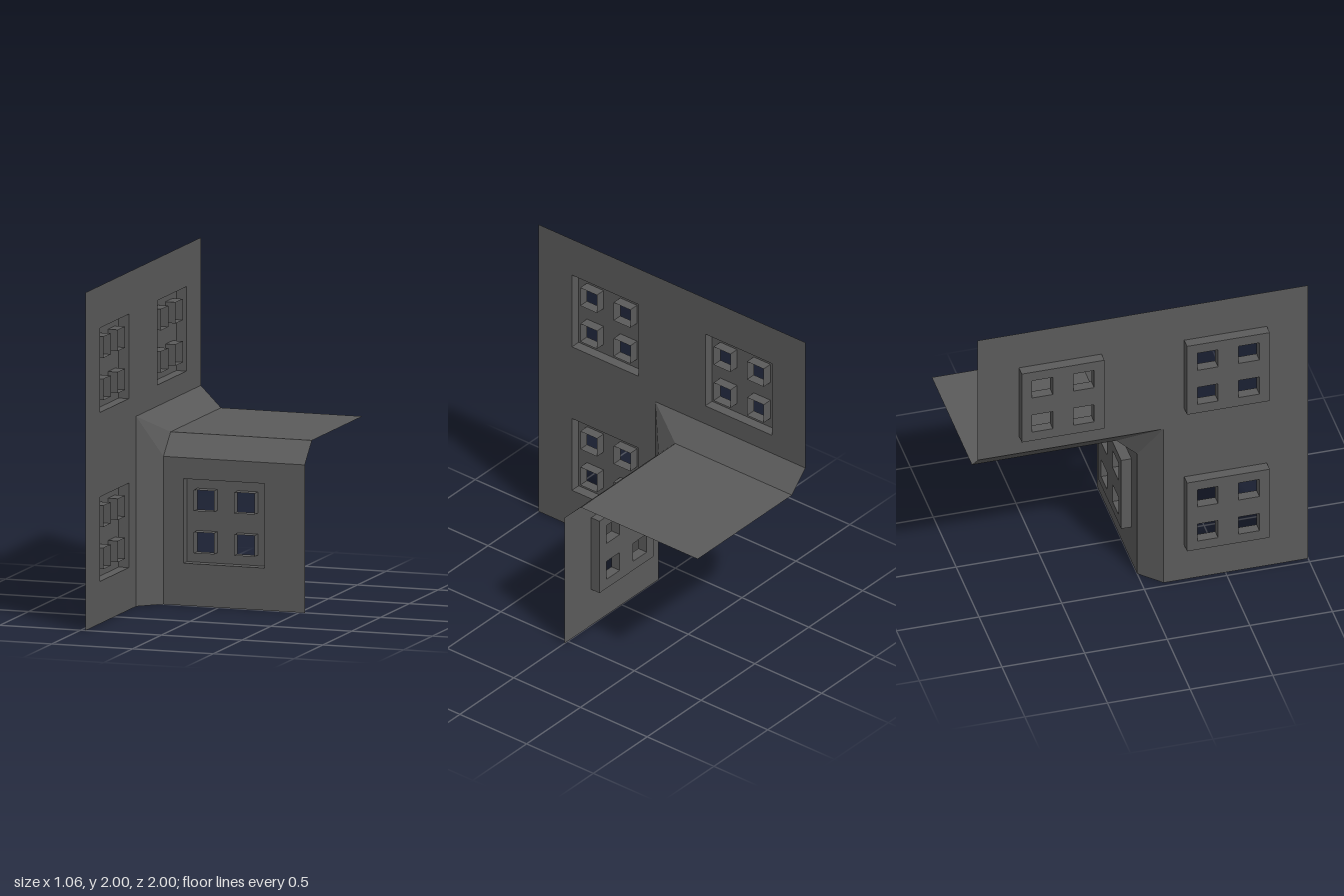
import * as THREE from 'three';

const DEPTH = 0.0625;   // how far the windows sit back from the wall
const WALL_X = -0.46875, INNER_X = -0.34375, END_X = 0.53125;
const FRAME = 0.5, PANE = 0.125;

export function createModel() {
  const grey = new THREE.MeshStandardMaterial({ color: 0x5a5a5a, side: THREE.DoubleSide, flatShading: true });
  grey.name = 'dark grey';
  const model = new THREE.Group();
  model.name = 'cornerWalls';

  const add = (parent, name, geometry) => {
    const mesh = new THREE.Mesh(geometry, grey);
    mesh.name = name;
    parent.add(mesh);
    return mesh;
  };

  const square = (x, y, s) => new THREE.Path([
    [x - s / 2, y - s / 2], [x - s / 2, y + s / 2], [x + s / 2, y + s / 2], [x + s / 2, y - s / 2],
  ].map(p => new THREE.Vector2(...p)));

  // flat sheet in the xy plane with square holes
  const sheet = (points, holes, size) => {
    const shape = new THREE.Shape(points.map(p => new THREE.Vector2(...p)));
    shape.holes = holes.map(([x, y]) => square(x, y, size));
    return new THREE.ShapeGeometry(shape);
  };

  // open square sleeve running back from z = 0
  const sleeve = (x, y, s) => new THREE.CylinderGeometry(s / Math.SQRT2, s / Math.SQRT2, DEPTH, 4, 1, true)
    .rotateY(Math.PI / 4).rotateX(Math.PI / 2).translate(x, y, -DEPTH / 2);

  // flat convex face from its corners, counter-clockwise from the front
  const face = (...corners) => {
    const tris = [];
    for (let i = 1; i < corners.length - 1; i++) tris.push(...corners[0], ...corners[i], ...corners[i + 1]);
    const g = new THREE.BufferGeometry();
    g.setAttribute('position', new THREE.Float32BufferAttribute(tris, 3));
    g.computeVertexNormals();
    return g;
  };

  // recessed window: outer rim, back sheet and four pane sleeves
  const addWindow = (parent, x, y) => {
    const win = new THREE.Group();
    win.name = 'window';
    win.position.set(x, y, 0);
    const h = FRAME / 2, panes = [];
    for (const px of [-PANE, PANE]) for (const py of [-PANE, PANE]) panes.push([px, py]);
    add(win, 'windowRim', sleeve(0, 0, FRAME));
    add(win, 'windowBack', sheet([[-h, -h], [h, -h], [h, h], [-h, h]], panes, PANE).translate(0, 0, -DEPTH));
    for (const [px, py] of panes) add(win, 'paneSleeve', sleeve(px, py, PANE));
    parent.add(win);
  };

  const addWall = (name, outline, windows) => {
    const wall = new THREE.Group();
    wall.name = name;
    add(wall, name + 'Sheet', sheet(outline, windows, FRAME));
    for (const [x, y] of windows) addWindow(wall, x, y);
    model.add(wall);
    return wall;
  };

  // tall L-shaped side wall, turned to face +x (its own x runs along -z)
  const side = addWall('sideWall',
    [[-1, 0], [-0.125, 0], [-0.125, 1.125], [1, 1.125], [1, 2], [-1, 2]],
    [[-0.5, 0.5], [-0.5, 1.5], [0.5, 1.5]]);
  side.rotation.y = Math.PI / 2;
  side.position.x = WALL_X;

  // lower front wall
  addWall('frontWall',
    [[INNER_X, 0], [END_X, 0], [END_X, 0.875], [INNER_X, 0.875]],
    [[0.03125, 0.5]]);

  // flat roof and the bevels joining it to the walls
  const peak = [WALL_X, 1.125, 0.125], low = [INNER_X, 0.875, 0], high = [INNER_X, 1, -0.125];
  add(model, 'roof', face(high, [END_X, 1, -0.125], [END_X, 1, -1], [INNER_X, 1, -1]));
  add(model, 'roofEdgeBevel', face(low, [END_X, 0.875, 0], [END_X, 1, -0.125], high));
  add(model, 'uprightBevel', face([WALL_X, 0, 0.125], [INNER_X, 0, 0], low, peak));
  add(model, 'roofWallBevel', face(peak, high, [INNER_X, 1, -1], [WALL_X, 1.125, -1]));
  add(model, 'cornerBevel', face(peak, low, high));

  return model;
}
